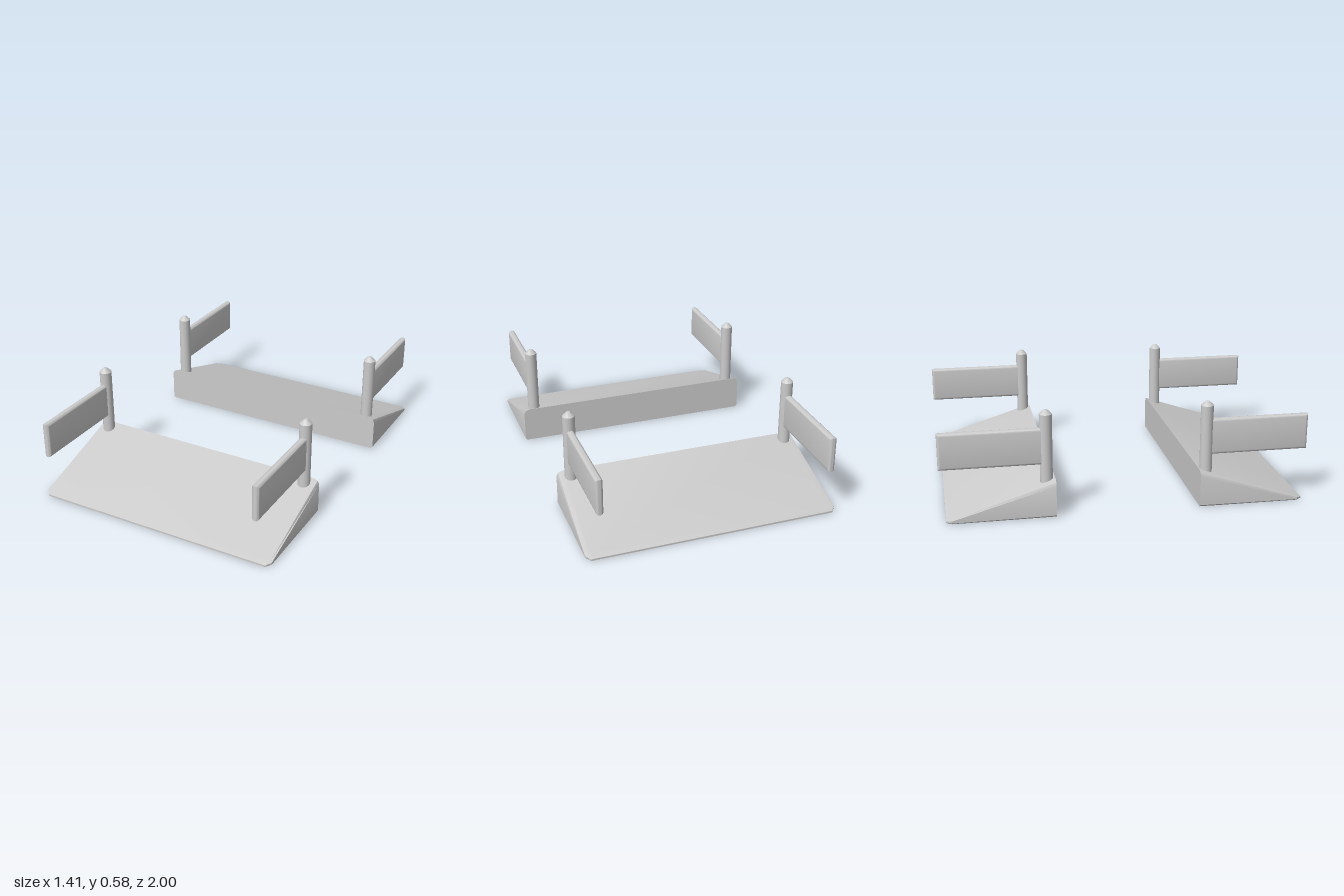
import * as THREE from 'three';
import { toCreasedNormals } from 'three/addons/utils/BufferGeometryUtils.js';

const material = new THREE.MeshStandardMaterial({ color: 0xcccccc });

function addMesh(parent, name, geometry) {
  const mesh = new THREE.Mesh(geometry, material);
  mesh.name = name;
  parent.add(mesh);
  return mesh;
}

// Cross-section of the ramp, counter-clockwise seen from +z, with softened upper corners
function rampSection(z, halfWidth, height) {
  const top = 0.672;
  const foot = Math.min(0.01, height * 0.3);
  const shoulder = height * 0.86;
  const mid = top + (halfWidth - top) * 0.72;
  const half = [
    [halfWidth - foot, 0],
    [halfWidth, foot],
    [halfWidth, shoulder],
    [mid, height * 0.955],
    [top, height],
  ];
  const mirrored = half.map(([x, y]) => [-x, y]).reverse();
  return [...half, ...mirrored].map(([x, y]) => [x, y, z]);
}

// Wedge lofted from the tall inner end to the thin outer lip
function rampGeometry() {
  const heightAt = (z) => 0.01 + (0.195 * (0.97 - z)) / 0.58;
  const rings = [[0.39, 0.705], [0.94, 0.705], [0.97, 0.68]]
    .map(([z, w]) => rampSection(z, w, heightAt(z)));
  const n = rings[0].length;
  const index = [];
  for (let s = 0; s < rings.length - 1; s++) {
    for (let j = 0; j < n; j++) {
      const a = s * n + j;
      const b = s * n + ((j + 1) % n);
      index.push(a, b, b + n, a, b + n, a + n);
    }
  }
  const last = (rings.length - 1) * n;
  for (let j = 1; j < n - 1; j++) {
    index.push(0, j + 1, j);
    index.push(last, last + j, last + j + 1);
  }
  const geometry = new THREE.BufferGeometry();
  geometry.setAttribute('position', new THREE.Float32BufferAttribute(rings.flat(2), 3));
  geometry.setIndex(index);
  return toCreasedNormals(geometry, 0.6);
}

// Round post with a blunt conical cap
function postGeometry() {
  const profile = [[0, 0.165], [0.034, 0.165], [0.034, 0.555], [0.011, 0.578], [0, 0.581]]
    .map(([r, y]) => new THREE.Vector2(r, y));
  return toCreasedNormals(new THREE.LatheGeometry(profile, 20), 0.5);
}

// Thin board with rounded edges, running outward along z
function boardGeometry() {
  const bevel = 0.015;
  const [z0, z1, y0, y1] = [0.455, 0.999 - bevel, 0.28 + bevel, 0.48 - bevel];
  const outline = new THREE.Shape();
  outline.moveTo(z0, y0);
  outline.lineTo(z1, y0);
  outline.lineTo(z1, y1);
  outline.lineTo(z0, y1);
  const geometry = new THREE.ExtrudeGeometry(outline, {
    depth: 0.01,
    bevelThickness: 0.015,
    bevelSize: bevel,
    bevelSegments: 3,
  });
  geometry.translate(0, 0, -0.005);
  geometry.rotateY(-Math.PI / 2);
  return toCreasedNormals(geometry, 0.6);
}

export function createModel() {
  const model = new THREE.Group();
  model.name = 'rampPair';
  const ramp = rampGeometry();
  const post = postGeometry();
  const board = boardGeometry();

  // Two identical halves facing away from each other
  for (const [side, angle] of [['front', 0], ['back', Math.PI]]) {
    const half = new THREE.Group();
    half.name = side + 'Half';
    half.rotation.y = angle;
    addMesh(half, side + 'Ramp', ramp);
    for (const x of [-0.635, 0.635]) {
      // Name follows the model's own left (+x) after the turn
      const hand = x * Math.cos(angle) > 0 ? 'Left' : 'Right';
      addMesh(half, side + hand + 'Post', post).position.set(x, 0, 0.434);
      addMesh(half, side + hand + 'Board', board).position.x = x;
    }
    model.add(half);
  }
  return model;
}
